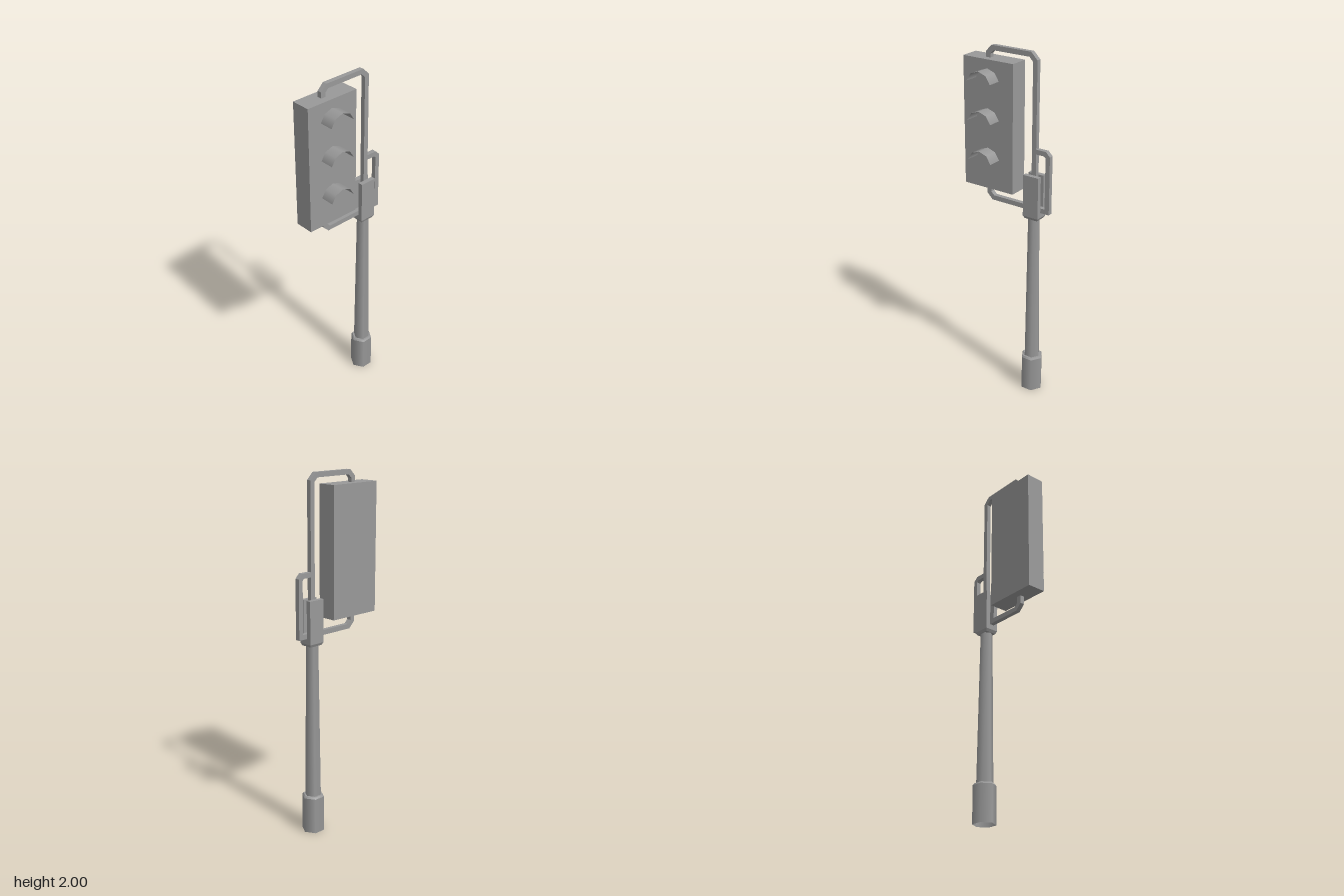
import * as THREE from 'three';

const POLE_X = 0.159, MID_Z = -0.037, BAR_DEPTH = 0.026, GREY = 0x999999;

export function createModel() {
  const root = new THREE.Group();
  const smooth = new THREE.MeshStandardMaterial({ color: GREY });
  const flat = new THREE.MeshStandardMaterial({ color: GREY, flatShading: true });
  const thin = new THREE.MeshStandardMaterial({ color: GREY, side: THREE.DoubleSide });

  const add = (name, geometry, material, x, y, z) => {
    const mesh = new THREE.Mesh(geometry, material);
    mesh.name = name;
    mesh.position.set(x, y, z);
    root.add(mesh);
    return mesh;
  };

  // Six-sided column section with corners on the x axis
  const column = (name, rBottom, rTop, y0, y1, open = false) => add(name,
    new THREE.CylinderGeometry(rTop, rBottom, y1 - y0, 6, 1, open, Math.PI / 2),
    open ? thin : smooth, POLE_X, (y0 + y1) / 2, MID_Z);

  const box = (name, x0, x1, y0, y1, z0, z1) => add(name,
    new THREE.BoxGeometry(x1 - x0, y1 - y0, z1 - z0), flat,
    (x0 + x1) / 2, (y0 + y1) / 2, (z0 + z1) / 2);

  // Square bar following a path in the xy plane, with mitred corners
  const bar = (name, points, width = 0.027) => {
    const path = points.map(([x, y]) => new THREE.Vector2(x, y));
    const sides = [[], []];
    path.forEach((p, i) => {
      const a = path[Math.max(i - 1, 0)], b = path[Math.min(i + 1, path.length - 1)];
      const d0 = (i ? p.clone().sub(a) : b.clone().sub(p)).normalize();
      const d1 = (b !== p ? b.clone().sub(p) : d0.clone()).normalize();
      const n = new THREE.Vector2(-d0.y - d1.y, d0.x + d1.x).normalize();
      n.multiplyScalar(width / 2 / (n.x * -d0.y + n.y * d0.x));
      sides[0].push(p.clone().add(n));
      sides[1].unshift(p.clone().sub(n));
    });
    const shape = new THREE.Shape([...sides[0], ...sides[1]]);
    const geometry = new THREE.ExtrudeGeometry(shape, { depth: BAR_DEPTH, bevelEnabled: false });
    add(name, geometry, flat, 0, 0, MID_Z - BAR_DEPTH / 2);
  };

  // Hollow base sleeve, bevelled rim and tapered pole
  column('base', 0.064, 0.064, 0, 0.207, true);
  column('baseRim', 0.064, 0.057, 0.207, 0.217);
  column('pole', 0.046, 0.034, 0.217, 1.095);

  // Clamp: tapered foot and two plates holding the bars between them
  const foot = box('clampFoot', 0.113, 0.209, 1.088, 1.103, -0.077, 0.002);
  const pos = foot.geometry.attributes.position;
  for (let i = 0; i < pos.count; i++) {
    if (pos.getY(i) < 0) pos.setXYZ(i, pos.getX(i) * 0.82, pos.getY(i), pos.getZ(i) * 0.82);
  }
  box('clampFloor', 0.113, 0.209, 1.103, 1.133, -0.077, 0.002);
  box('clampFrontPlate', 0.113, 0.209, 1.133, 1.34, MID_Z + BAR_DEPTH / 2, 0.002);
  box('clampBackPlate', 0.113, 0.209, 1.133, 1.34, -0.077, MID_Z - BAR_DEPTH / 2);

  // Upper arm over the signal, lower arm continuing into the side loop
  bar('upperArm', [[0.1635, 1.135], [0.1635, 1.956], [0.133, 1.9865],
    [-0.103, 1.9865], [-0.1305, 1.959], [-0.1305, 1.925]]);
  bar('lowerArm', [[-0.1305, 1.22], [-0.1305, 1.174], [-0.103, 1.1465],
    [0.2495, 1.1465], [0.2495, 1.457], [0.232, 1.4745], [0.167, 1.4745]]);

  // Signal housing with three curved visors, flaring very slightly to the front
  box('signalHousing', -0.264, 0.054, 1.215, 1.932, -0.094, 0.015);
  const arc = THREE.MathUtils.degToRad(154);
  const visor = new THREE.CylinderGeometry(0.0755, 0.0765, 0.079, 4, 1, true, Math.PI - arc / 2, arc);
  visor.rotateX(Math.PI / 2);
  visor.scale(1, 1, -1);
  visor.setIndex([...visor.index.array].reverse());
  [1.809, 1.595, 1.374].forEach((y) => add('visor', visor, thin, -0.109, y, 0.0545));

  return root;
}
